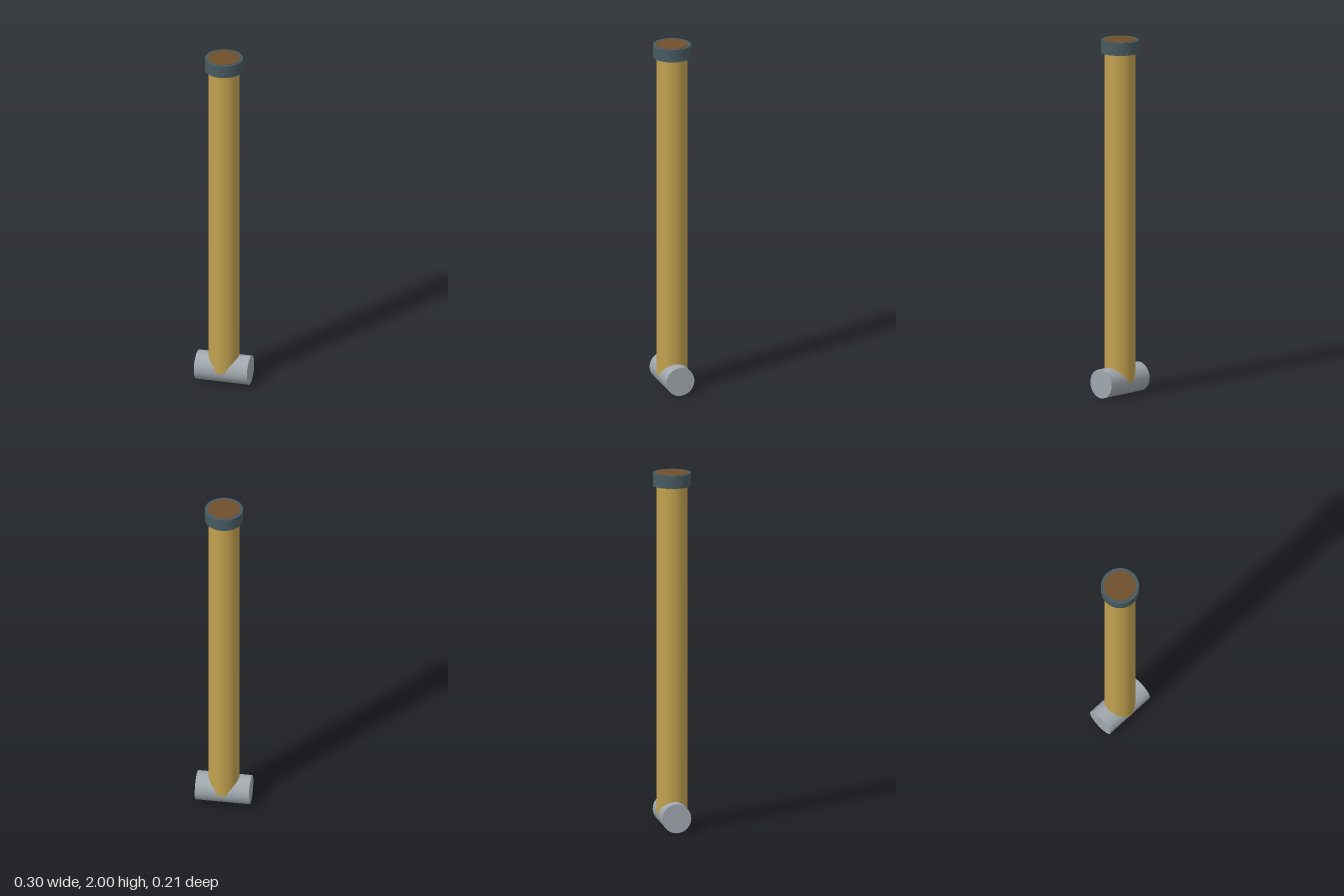
import * as THREE from 'three';

const SEG = 48;

function flat(name, color) {
  const m = new THREE.MeshStandardMaterial({ color });
  m.name = name;
  return m;
}

export function createModel() {
  const model = new THREE.Group();
  const ochre = flat('ochre', 0xc2a14f);
  const steel = flat('steel grey', 0xa0a8ae);
  const slate = flat('dark slate', 0x475a61);
  const brown = flat('brown', 0x70502d);

  const add = (name, geometry, material, y) => {
    const mesh = new THREE.Mesh(geometry, material);
    mesh.name = name;
    mesh.position.y = y;
    model.add(mesh);
    return mesh;
  };
  // Upright cylinder between two heights
  const rod = (name, r, y0, y1, material) =>
    add(name, new THREE.CylinderGeometry(r, r, y1 - y0, SEG), material, (y0 + y1) / 2);

  // Long shaft, its lower end sunk to the middle of the crossbar
  rod('shaft', 0.085, 0.081, 1.93, ochre);

  // Horizontal crossbar at the foot
  const bar = add('crossbar', new THREE.CylinderGeometry(0.081, 0.081, 0.302, SEG), steel, 0.081);
  bar.rotation.z = Math.PI / 2;

  // Wider collar at the top with a thin inset disc
  rod('collar', 0.105, 1.927, 1.998, slate);
  rod('endDisc', 0.087, 1.994, 2, brown);

  return model;
}
